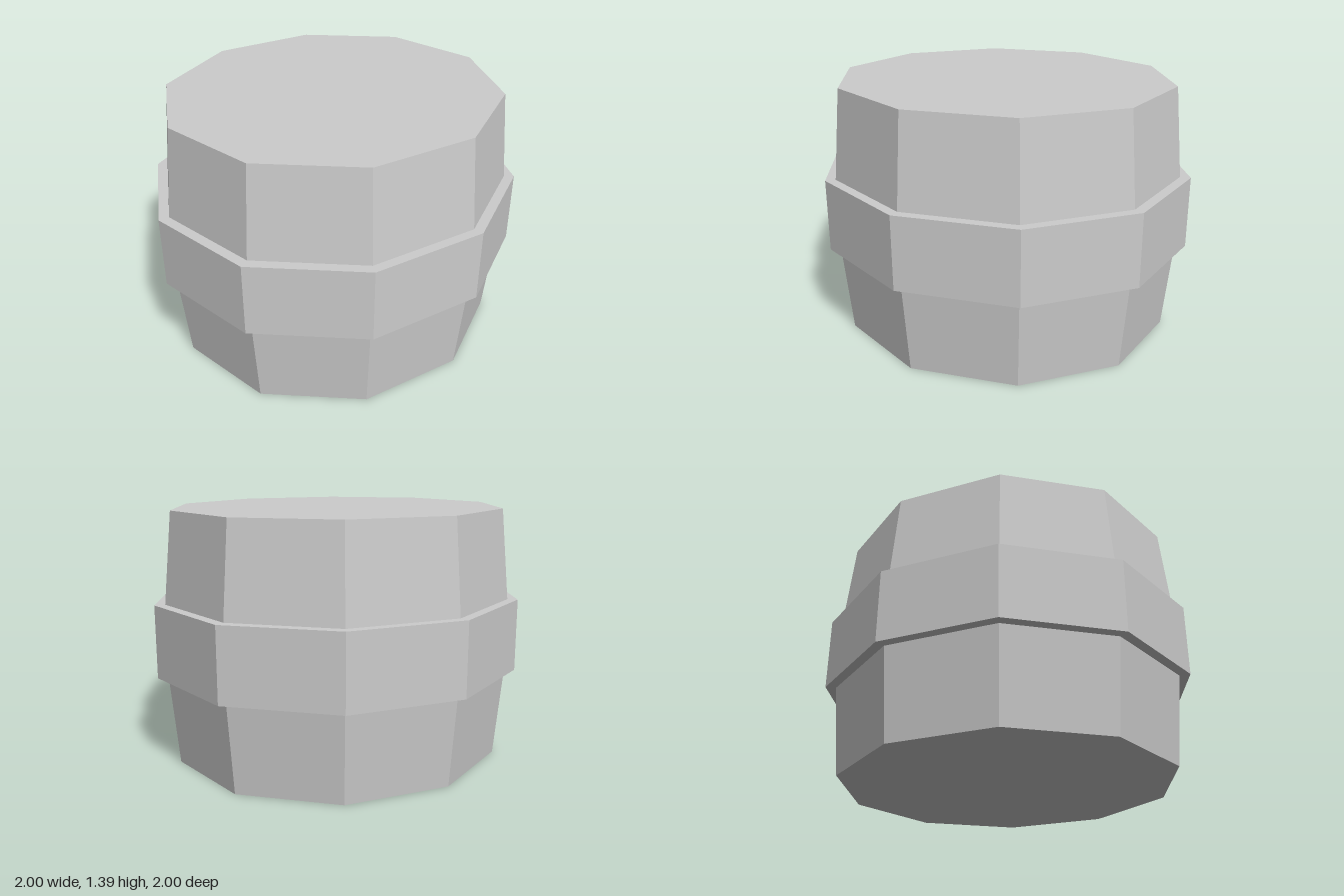
import * as THREE from 'three';

const SIDES = 10;
const HEIGHT = 1.39;
const BAND_LOW = 0.495, BAND_HIGH = 0.895;

export function createModel() {
  const model = new THREE.Group();
  model.name = 'barrel';

  const grey = new THREE.MeshStandardMaterial({ color: 0xcccccc, flatShading: true });
  grey.name = 'light grey';

  // Ten-sided ring of facets from a profile of [radius, height], listed bottom to top
  function addPart(name, profile) {
    const points = profile.map(([r, y]) => new THREE.Vector2(r, y));
    const geometry = new THREE.LatheGeometry(points, SIDES);
    // widen so the flat sides reach as far as the front and back corners
    geometry.scale(1 / Math.cos(Math.PI / SIDES), 1, 1);
    const mesh = new THREE.Mesh(geometry, grey);
    mesh.name = name;
    model.add(mesh);
  }

  // Body halves taper towards the closed ends
  addPart('lowerBody', [[0, 0], [0.9, 0], [0.945, BAND_LOW]]);
  addPart('upperBody', [[0.945, BAND_HIGH], [0.9, HEIGHT], [0, HEIGHT]]);

  // Raised band around the middle, with a ledge above and below
  addPart('middleBand', [[0.945, BAND_LOW], [1, BAND_LOW], [1, BAND_HIGH], [0.945, BAND_HIGH]]);

  return model;
}
